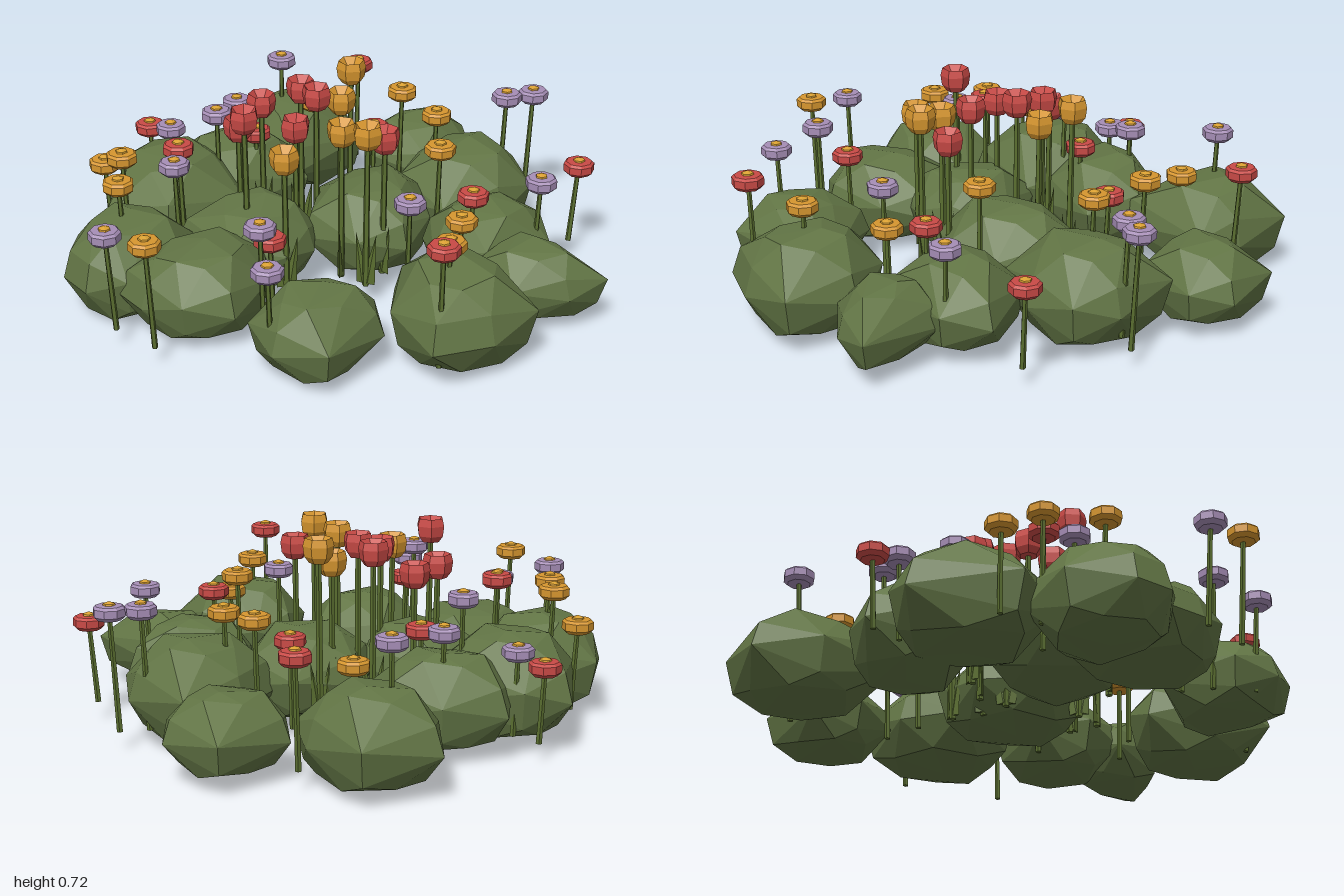
import * as THREE from 'three';
import { ConvexGeometry } from 'three/addons/geometries/ConvexGeometry.js';

const mat = (name, color) => {
  const m = new THREE.MeshStandardMaterial({ color });
  m.name = name;
  return m;
};

// faceted solid of revolution
function facetedLathe(profile, sides) {
  const g = new THREE.LatheGeometry(profile.map(p => new THREE.Vector2(...p)), sides).toNonIndexed();
  g.computeVertexNormals();
  return g;
}

// boulder-like shrub: widest outline [x, z] with smaller rings above and below
function shrubGeometry(outline, bottom, top) {
  const n = outline.length, h = top - bottom, pts = [];
  const cx = outline.reduce((s, p) => s + p[0], 0) / n;
  const cz = outline.reduce((s, p) => s + p[1], 0) / n;
  const add = (x, z, s, y) => pts.push(new THREE.Vector3(cx + (x - cx) * s, bottom + h * y, cz + (z - cz) * s));
  outline.forEach(([x, z], i) => {
    const [x2, z2] = outline[(i + 1) % n], odd = i % 2;
    const mx = (x + x2) / 2, mz = (z + z2) / 2;
    add(x, z, 1, odd ? 0.54 : 0.4);
    add(x, z, 0.88, odd ? 0.17 : 0.69);
    add(mx, mz, 0.61, odd ? 0.95 : 0.9);
    add(mx, mz, 0.78, odd ? 0.04 : 0.09);
  });
  add(cx + 0.04, cz - 0.03, 1, 1);
  add(cx, cz, 1, 0);
  return new ConvexGeometry(pts);
}

export function createModel() {
  const model = new THREE.Group();
  model.name = 'flowerBed';
  const leafGreen = mat('shrub green', 0x627545);
  const stemGreen = mat('stem green', 0x5a6e30);
  const petals = {
    red: mat('petal red', 0xc94a46),
    lavender: mat('petal lavender', 0xa68eb6),
    orange: mat('petal orange', 0xd6962f),
  };
  const gold = mat('flower centre gold', 0xd9a032);

  const part = (parent, name, geometry, material, x = 0, y = 0, z = 0) => {
    const m = new THREE.Mesh(geometry, material);
    m.name = name;
    m.position.set(x, y, z);
    parent.add(m);
    return m;
  };

  // shrubs: bottom, top, outline
  const shrub = (bottom, top, ...outline) =>
    part(model, 'shrub', shrubGeometry(outline, bottom, top), leafGreen);
  shrub(0.02, 0.36, [0.3, -1], [0.58, -0.94], [0.62, -0.68], [0.57, -0.53], [0.18, -0.48], [0.17, -0.79]);
  shrub(0.03, 0.31, [0.6, -0.56], [0.89, -0.58], [0.96, -0.34], [0.87, -0.21], [0.62, -0.2], [0.52, -0.4]);
  shrub(0.03, 0.38, [0.56, -0.2], [0.8, -0.2], [0.86, 0.08], [0.79, 0.23], [0.6, 0.28], [0.38, 0.2], [0.35, -0.07]);
  shrub(0.04, 0.36, [0.08, -0.2], [0.35, -0.18], [0.43, 0.03], [0.32, 0.2], [0.14, 0.29], [-0.03, 0.21], [-0.1, -0.02]);
  shrub(0.03, 0.34, [0.26, 0.23], [0.5, 0.2], [0.66, 0.46], [0.55, 0.6], [0.24, 0.61], [0.17, 0.4]);
  shrub(0.04, 0.3, [0.19, 0.56], [0.36, 0.5], [0.51, 0.56], [0.55, 0.9], [0.38, 0.89], [0.21, 0.78]);
  shrub(0.02, 0.375, [-0.26, 0.92], [-0.24, 0.67], [-0.07, 0.48], [0.08, 0.51], [0.23, 0.71], [0.17, 0.96], [-0.05, 0.99]);
  shrub(0.02, 0.31, [-0.36, 0.28], [-0.19, 0.52], [-0.27, 0.68], [-0.55, 0.74], [-0.66, 0.57], [-0.63, 0.39]);
  shrub(0.02, 0.33, [-0.84, -0.1], [-0.43, -0.25], [-0.3, 0.06], [-0.4, 0.2], [-0.62, 0.3], [-0.77, 0.2], [-0.84, 0.05]);
  shrub(0, 0.35, [-0.93, -0.32], [-0.77, -0.49], [-0.52, -0.46], [-0.42, -0.22], [-0.58, -0.04], [-0.82, -0.06], [-0.93, -0.17]);
  shrub(0.03, 0.4, [-0.37, -0.83], [-0.2, -0.78], [-0.05, -0.55], [-0.16, -0.3], [-0.5, -0.3], [-0.62, -0.53]);
  shrub(0.03, 0.37, [-0.11, -0.81], [0.11, -0.73], [0.24, -0.54], [0.16, -0.34], [-0.14, -0.36], [-0.29, -0.6]);
  shrub(0.04, 0.34, [-0.47, -0.29], [-0.18, -0.37], [-0.06, -0.16], [-0.04, -0.02], [-0.12, 0.08], [-0.28, 0.13], [-0.49, 0.05]);

  // stem leaning slightly outward from the middle of the bed
  const up = new THREE.Vector3(0, 1, 0);
  const stem = (parent, x, y, z, r) => {
    const foot = new THREE.Vector3(x * 0.97, 0.07, z * 0.98), head = new THREE.Vector3(x, y, z);
    const dir = head.clone().sub(foot), mid = foot.clone().add(head).multiplyScalar(0.5);
    const g = new THREE.CylinderGeometry(r * 0.8, r, dir.length(), 5).toNonIndexed();
    g.computeVertexNormals();
    part(parent, 'stem', g, stemGreen, mid.x, mid.y, mid.z).quaternion.setFromUnitVectors(up, dir.normalize());
    return foot;
  };

  // flat eight-sided blossoms with a gold centre
  const discGeo = facetedLathe([[0, -0.028], [0.042, -0.027], [0.057, -0.013], [0.057, 0.014], [0.048, 0.023], [0, 0.025]], 8);
  const centreGeo = facetedLathe([[0.024, 0.015], [0.021, 0.03], [0, 0.038]], 6);
  const blossoms = {
    red: [[-0.22, 0.34, -0.86], [0.64, 0.46, -0.65], [-0.01, 0.41, -0.44], [-0.44, 0.51, -0.31], [0.4, 0.39, -0.24],
      [-0.47, 0.4, 0.3], [0.29, 0.41, 0.47], [0.82, 0.37, 0.45], [-0.19, 0.52, 0.88]],
    lavender: [[-0.2, 0.37, -0.74], [0.36, 0.5, -0.79], [0.04, 0.45, -0.64], [-0.16, 0.51, -0.48], [-0.51, 0.49, -0.23],
      [-0.56, 0.5, 0.37], [-0.63, 0.42, 0.51], [-0.94, 0.44, 0], [0.83, 0.5, 0.03], [0.93, 0.5, 0.07],
      [0.01, 0.46, 0.46], [0.53, 0.43, 0.56]],
    orange: [[-0.58, 0.38, -0.6], [-0.6, 0.47, -0.44], [-0.72, 0.46, -0.27], [0.38, 0.38, -0.6], [0.56, 0.49, -0.27],
      [0.55, 0.47, -0.05], [-0.9, 0.47, 0.19], [0.31, 0.51, 0.26], [0.17, 0.38, 0.55], [-0.05, 0.44, 0.75]],
  };
  for (const [color, spots] of Object.entries(blossoms)) {
    spots.forEach(([x, y, z], i) => {
      const flower = new THREE.Group();
      flower.name = 'flatFlower';
      model.add(flower);
      stem(flower, x, y, z, 0.011);
      part(flower, 'petals', discGeo, petals[color], x, y, z).rotation.y = i * 0.7;
      part(flower, 'flowerCentre', centreGeo, gold, x, y, z).rotation.y = i * 0.7;
    });
  }

  // tall cup-shaped flowers, hollow on top, with two blade leaves each
  const cupGeo = facetedLathe([[0, -0.047], [0.033, -0.045], [0.05, -0.022], [0.055, 0.015], [0.048, 0.043], [0, -0.015]], 6);
  const bladeGeo = new THREE.ConeGeometry(0.026, 0.2, 4).toNonIndexed();
  bladeGeo.scale(1, 1, 0.35);
  bladeGeo.computeVertexNormals();
  const cups = {
    red: [[-0.06, 0.58, -0.33], [-0.24, 0.57, -0.22], [0.04, 0.65, -0.22], [0.03, 0.66, -0.11], [-0.31, 0.67, -0.08],
      [-0.13, 0.61, -0.02], [0.08, 0.6, 0.23]],
    orange: [[0.25, 0.68, -0.19], [0.15, 0.61, -0.12], [-0.28, 0.58, 0.12], [-0.06, 0.64, 0.16], [-0.03, 0.66, 0.27]],
  };
  for (const [color, spots] of Object.entries(cups)) {
    spots.forEach(([x, y, z], i) => {
      const flower = new THREE.Group();
      flower.name = 'cupFlower';
      model.add(flower);
      const foot = stem(flower, x, y, z, 0.013);
      part(flower, 'cup', cupGeo, petals[color], x, y, z).rotation.y = i * 0.9;
      for (const side of [-1, 1]) {
        const a = i * 1.3, dx = side * 0.025 * Math.cos(a), dz = -side * 0.025 * Math.sin(a);
        part(flower, 'bladeLeaf', bladeGeo, stemGreen, foot.x + dx, 0.18, foot.z + dz).rotation.set(0, a, -side * 0.15, 'YXZ');
      }
    });
  }
  return model;
}
